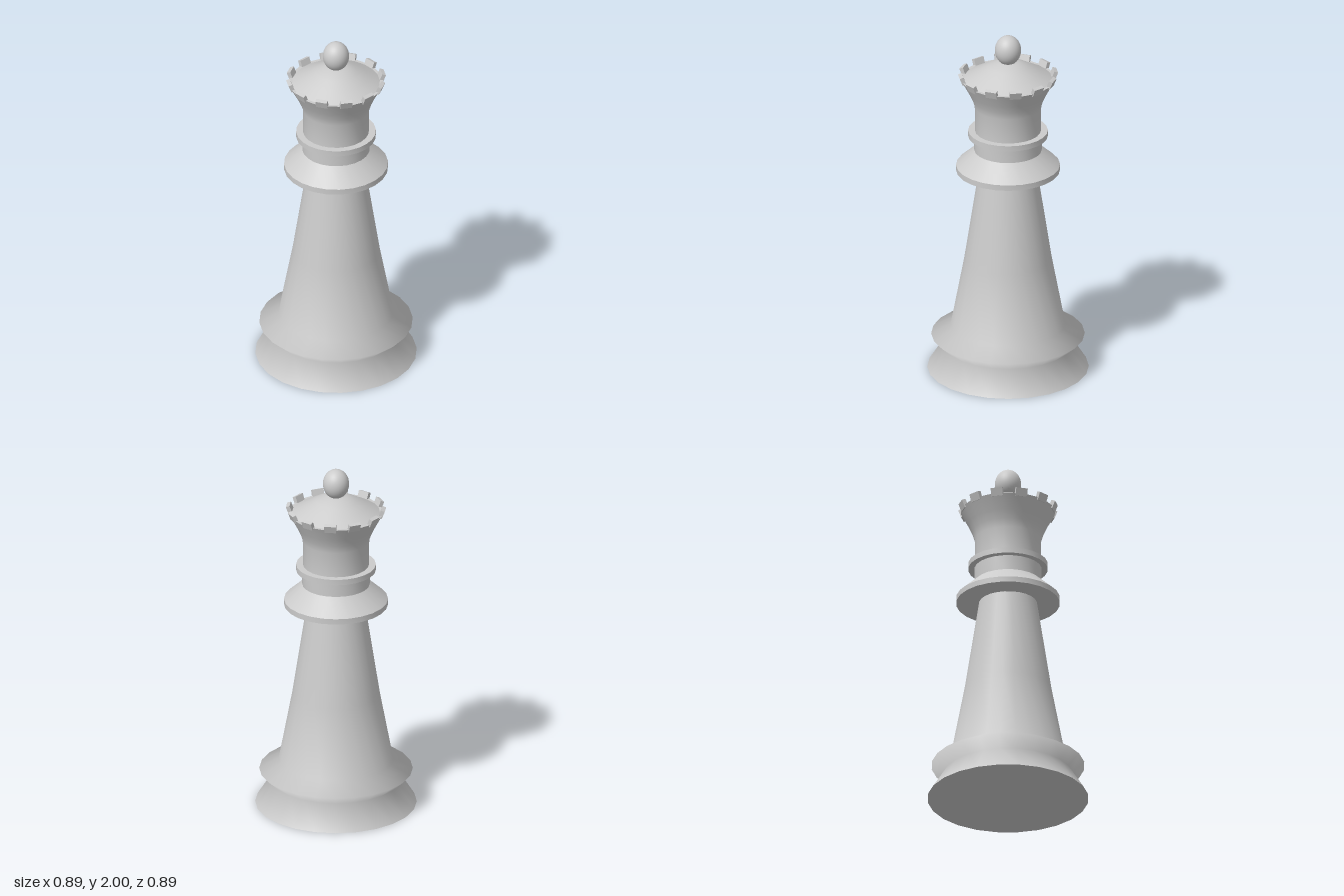
import * as THREE from 'three';
import { toCreasedNormals } from 'three/addons/utils/BufferGeometryUtils.js';

const SIDES = 24;
const material = new THREE.MeshStandardMaterial({ color: 0xcccccc });

// Turned part from [radius, height] pairs listed bottom to top
function turned(name, profile, crease) {
  let geometry = new THREE.LatheGeometry(profile.map(([r, y]) => new THREE.Vector2(r, y)), SIDES);
  if (crease) geometry = toCreasedNormals(geometry, crease);
  const mesh = new THREE.Mesh(geometry, material);
  mesh.name = name;
  return mesh;
}

export function createModel() {
  const group = new THREE.Group();
  group.name = 'chessQueen';

  // Underside disc
  const underside = new THREE.Mesh(new THREE.CircleGeometry(0.447, SIDES), material);
  underside.rotation.x = Math.PI / 2;
  underside.name = 'underside';
  group.add(underside);

  // Flared foot, grooved ring and tapering stem
  group.add(turned('baseAndStem', [
    [0.447, 0], [0.358, 0.14], [0.425, 0.2], [0.317, 0.26],
    [0.242, 0.66], [0.16, 1.195],
  ]));

  // Wide flange, neck and thin ring
  group.add(turned('collar', [
    [0.155, 1.19], [0.288, 1.19], [0.288, 1.222], [0.187, 1.313], [0.187, 1.398],
    [0.221, 1.398], [0.221, 1.43], [0.18, 1.43],
  ], 0.7));

  // Flaring crown
  group.add(turned('crown', [
    [0.183, 1.43], [0.184, 1.575], [0.198, 1.62], [0.218, 1.665], [0.261, 1.745], [0.243, 1.745],
  ], 0.7));

  // Low dome inside the crown
  group.add(turned('dome', [
    [0.245, 1.744], [0.175, 1.783], [0.115, 1.817], [0.06, 1.84], [0, 1.845],
  ]));

  // Crown teeth leaning outward
  const teeth = new THREE.Group();
  teeth.name = 'crownTeeth';
  const toothGeometry = new THREE.BoxGeometry(0.066, 0.046, 0.022);
  for (let i = 0; i < 12; i++) {
    const angle = THREE.MathUtils.degToRad(-6.5 + 30 * i);
    const tooth = new THREE.Mesh(toothGeometry, material);
    tooth.name = 'crownTooth';
    tooth.position.set(0.257 * Math.sin(angle), 1.755, 0.257 * Math.cos(angle));
    tooth.rotation.set(0.37, angle, 0, 'YXZ');
    teeth.add(tooth);
  }
  group.add(teeth);

  // Egg-shaped finial
  const finial = new THREE.Mesh(new THREE.SphereGeometry(1, 32, 20), material);
  finial.scale.set(0.073, 0.085, 0.073);
  finial.position.y = 1.915;
  finial.name = 'finial';
  group.add(finial);

  return group;
}
